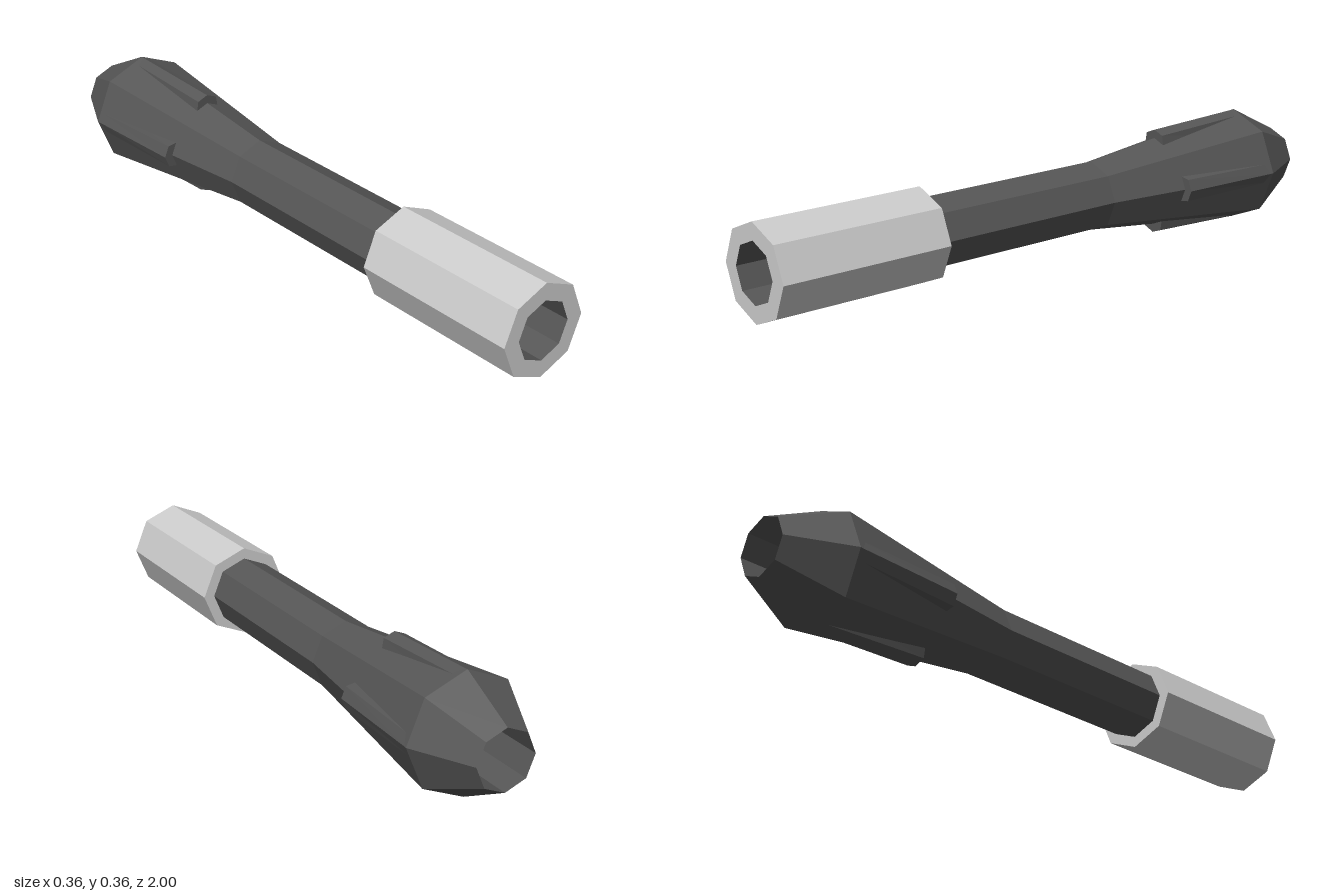
import * as THREE from 'three';

const CY = 0.182;
const mat = (color) => new THREE.MeshStandardMaterial({ color, flatShading: true, side: THREE.DoubleSide });

// Eight-sided turned shell along z, from [radius, z] pairs, with corners at top, bottom and sides
function turned(name, profile, material) {
  const g = new THREE.LatheGeometry(profile.map(([r, z]) => new THREE.Vector2(r, z)), 8).rotateX(Math.PI / 2);
  const m = new THREE.Mesh(g.toNonIndexed(), material);
  m.name = name;
  return m;
}

function fromTriangles(name, tris, material) {
  const g = new THREE.BufferGeometry();
  g.setAttribute('position', new THREE.Float32BufferAttribute(tris.flat(2), 3));
  g.computeVertexNormals();
  const m = new THREE.Mesh(g, material);
  m.name = name;
  return m;
}

export function createModel() {
  const model = new THREE.Group();
  model.name = 'handle';
  const axis = new THREE.Group();
  axis.name = 'handleBody';
  axis.position.y = CY;
  model.add(axis);

  const dark = mat(0x565656), grey = mat(0xcccccc), orange = mat(0xfa8518);

  // Flared grip with a hollow end
  axis.add(turned('grip', [
    [0, -0.7], [0.09, -0.7], [0.09, -1], [0.181, -0.815], [0.108, -0.19], [0.108, 0.47],
  ], dark));

  // Front sleeve and its dark bore
  axis.add(turned('sleeve', [
    [0.1, 0.457], [0.142, 0.457], [0.142, 1], [0.09, 1],
  ], grey));
  axis.add(turned('bore', [[0.09, 1], [0.09, 0.5]], dark));

  // Faceted throat: outer octagon meets an inner octagon turned by half a step
  const polar = (r, step, z) => {
    const a = step * Math.PI / 4;
    return [r * Math.cos(a), r * Math.sin(a), z];
  };
  const outer = (i) => polar(0.09, i, i % 2 ? 0.6 : 0.5);
  const inner = (i) => polar(0.062, i + 0.5, 0.5);
  const points = [], facets = [];
  for (let i = 0; i < 8; i++) {
    (i % 2 ? facets : points).push([outer(i), inner(i), inner(i - 1)]);
    facets.push([outer(i), outer(i + 1), inner(i)]);
  }
  axis.add(fromTriangles('throatPoints', points, grey));
  axis.add(fromTriangles('throatFacets', facets, dark));

  // Emitter plate and its coloured core
  const plate = new THREE.Mesh(new THREE.CircleGeometry(0.062, 8, Math.PI / 8), dark);
  plate.name = 'emitterPlate';
  plate.position.z = 0.5;
  const core = new THREE.Mesh(
    new THREE.CylinderGeometry(0.03, 0.03, 0.03, 8).rotateX(Math.PI / 2).rotateZ(Math.PI / 8), orange);
  core.name = 'emitterCore';
  core.position.z = 0.51;
  axis.add(plate, core);

  // Four ridged fins that sink into the flare
  const section = (top, half, z) => [
    [-half - 0.008, 0.105, z], [-half, top - 0.0137, z], [0, top, z],
    [half, top - 0.0137, z], [half + 0.008, 0.105, z],
  ];
  const front = section(0.166, 0.034, -0.457), back = section(0.18, 0.03, -0.81);
  const finTris = [];
  for (let i = 0; i < 4; i++) {
    finTris.push([front[i], front[i + 1], back[i + 1]], [front[i], back[i + 1], back[i]]);
  }
  for (let i = 1; i < 4; i++) finTris.push([front[0], front[i + 1], front[i]]);
  for (let i = 0; i < 4; i++) {
    const fin = fromTriangles('fin', finTris, dark);
    fin.rotation.z = i * Math.PI / 2;
    axis.add(fin);
  }
  return model;
}
